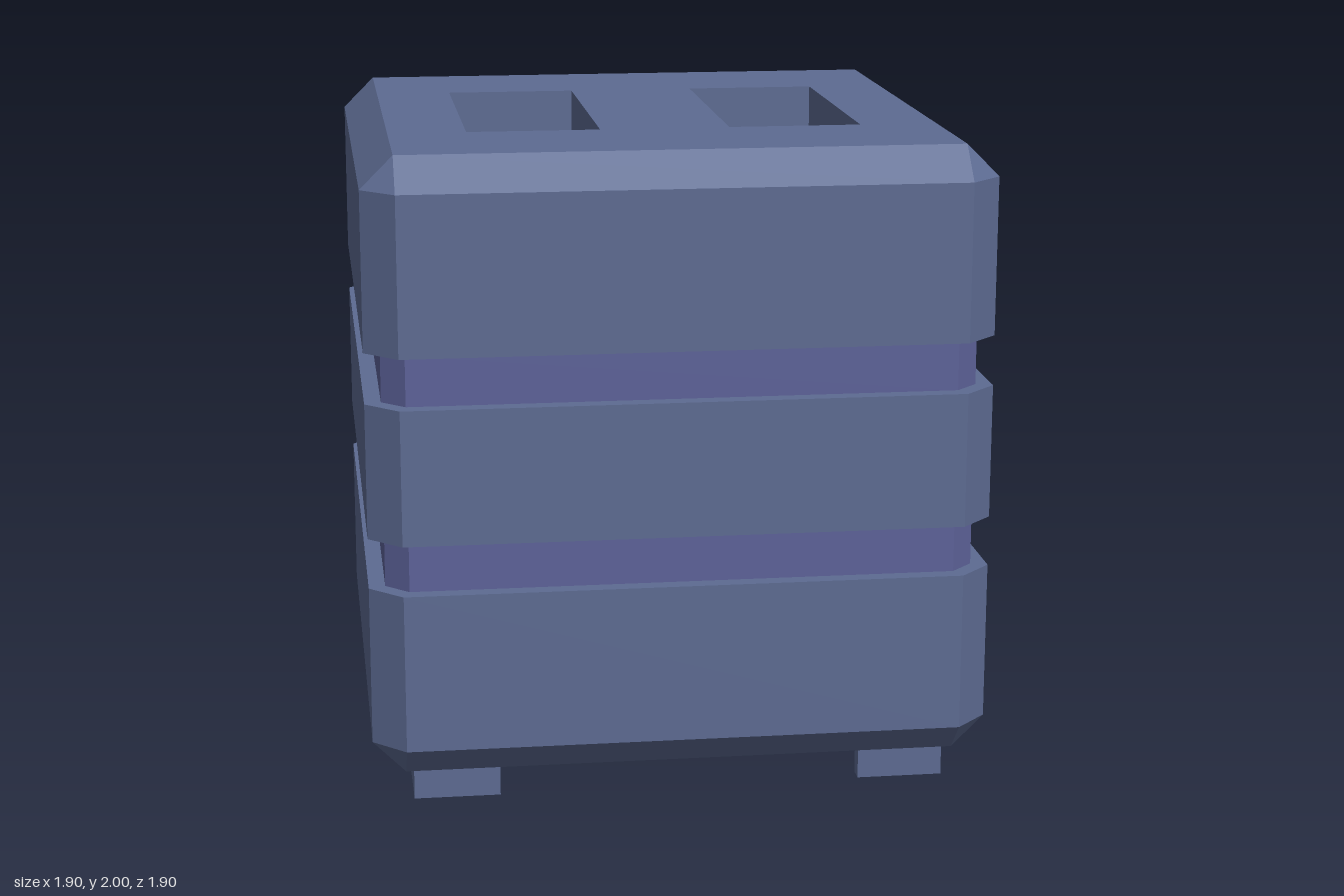
import * as THREE from 'three';

const shellMat = new THREE.MeshStandardMaterial({ color: 0x5d6b92, flatShading: true });
const accentMat = new THREE.MeshStandardMaterial({ color: 0x5d6299, flatShading: true });

// Square outline with cut corners: half width h, corner start c
function octagon(h, c, y) {
  return [[h, -c], [h, c], [c, h], [-c, h], [-h, c], [-h, -c], [-c, -h], [c, -h]]
    .map(([x, z]) => [x, y, z]);
}

function rectangle(cx, hx, hz, y) {
  return [[cx + hx, y, -hz], [cx + hx, y, hz], [cx - hx, y, hz], [cx - hx, y, -hz]];
}

// Joins successive loops with quads, leaving out collapsed triangles
function skin(loops) {
  const pos = [];
  const same = (p, q) => p.every((v, i) => v === q[i]);
  const tri = (a, b, c) => {
    if (!same(a, b) && !same(b, c) && !same(a, c)) pos.push(...a, ...b, ...c);
  };
  for (let k = 0; k < loops.length - 1; k++) {
    const lo = loops[k], up = loops[k + 1], n = lo.length;
    for (let i = 0; i < n; i++) {
      const j = (i + 1) % n;
      tri(lo[i], up[i], up[j]);
      tri(lo[i], up[j], lo[j]);
    }
  }
  const geo = new THREE.BufferGeometry();
  geo.setAttribute('position', new THREE.Float32BufferAttribute(pos, 3));
  geo.computeVertexNormals();
  return geo;
}

export function createModel() {
  const group = new THREE.Group();
  const add = (name, geo, mat) => {
    const mesh = new THREE.Mesh(geo, mat);
    mesh.name = name;
    group.add(mesh);
    return mesh;
  };

  const H = 0.95, C = 0.85;       // shell half width and chamfer start
  const GH = 0.9, GC = 0.83;      // groove half width and chamfer start
  const bottom = 0.1, top = 2, bevel = 0.1;
  const grooves = [[0.69, 0.845], [1.26, 1.415]];

  // Three shell bands with ledges turning into the grooves
  const wide = (y) => octagon(H, C, y), narrow = (y) => octagon(GH, GC, y);
  const [[g0, g1], [g2, g3]] = grooves;
  add('lowerShell', skin([octagon(C, C, bottom), wide(bottom + bevel), wide(g0), narrow(g0)]), shellMat);
  add('middleShell', skin([narrow(g1), wide(g1), wide(g2), narrow(g2)]), shellMat);
  add('upperShell', skin([narrow(g3), wide(g3), wide(top - bevel), octagon(C, C, top)]), shellMat);

  // Recessed bands between the shells
  for (const [a, b] of grooves) add('grooveBand', skin([narrow(a), narrow(b)]), accentMat);

  // Underside
  add('underside', new THREE.PlaneGeometry(2 * C, 2 * C).rotateX(Math.PI / 2).translate(0, bottom, 0), shellMat);

  // Top panel with two rectangular wells
  const wellX = 0.405, wellHX = 0.205, wellHZ = 0.435, depth = 0.135;
  const toPoints = (loop) => loop.map(([x, , z]) => new THREE.Vector2(x, -z));
  const panel = new THREE.Shape(toPoints(rectangle(0, C, C, 0)));
  for (const s of [-1, 1]) {
    const well = (y) => rectangle(s * wellX, wellHX, wellHZ, y);
    panel.holes.push(new THREE.Path(toPoints(well(0))));
    add('wellWalls', skin([well(top), well(top - depth)]), shellMat);
    add('wellFloor', new THREE.PlaneGeometry(2 * wellHX, 2 * wellHZ)
      .rotateX(-Math.PI / 2).translate(s * wellX, top - depth, 0), accentMat);
  }
  add('topPanel', new THREE.ShapeGeometry(panel).rotateX(-Math.PI / 2).translate(0, top, 0), shellMat);

  // L-shaped corner feet, open towards the middle
  const o = 0.825, i = 0.56, t = 0.05;
  const footShape = new THREE.Shape(
    [[i, o - t], [o - t, o - t], [o - t, i], [o, i], [o, o], [i, o]].map(([x, y]) => new THREE.Vector2(x, y)));
  const footGeo = new THREE.ExtrudeGeometry(footShape, { depth: bottom, bevelEnabled: false }).rotateX(-Math.PI / 2);
  for (let k = 0; k < 4; k++) add('foot', footGeo, shellMat).rotation.y = k * Math.PI / 2;

  return group;
}
